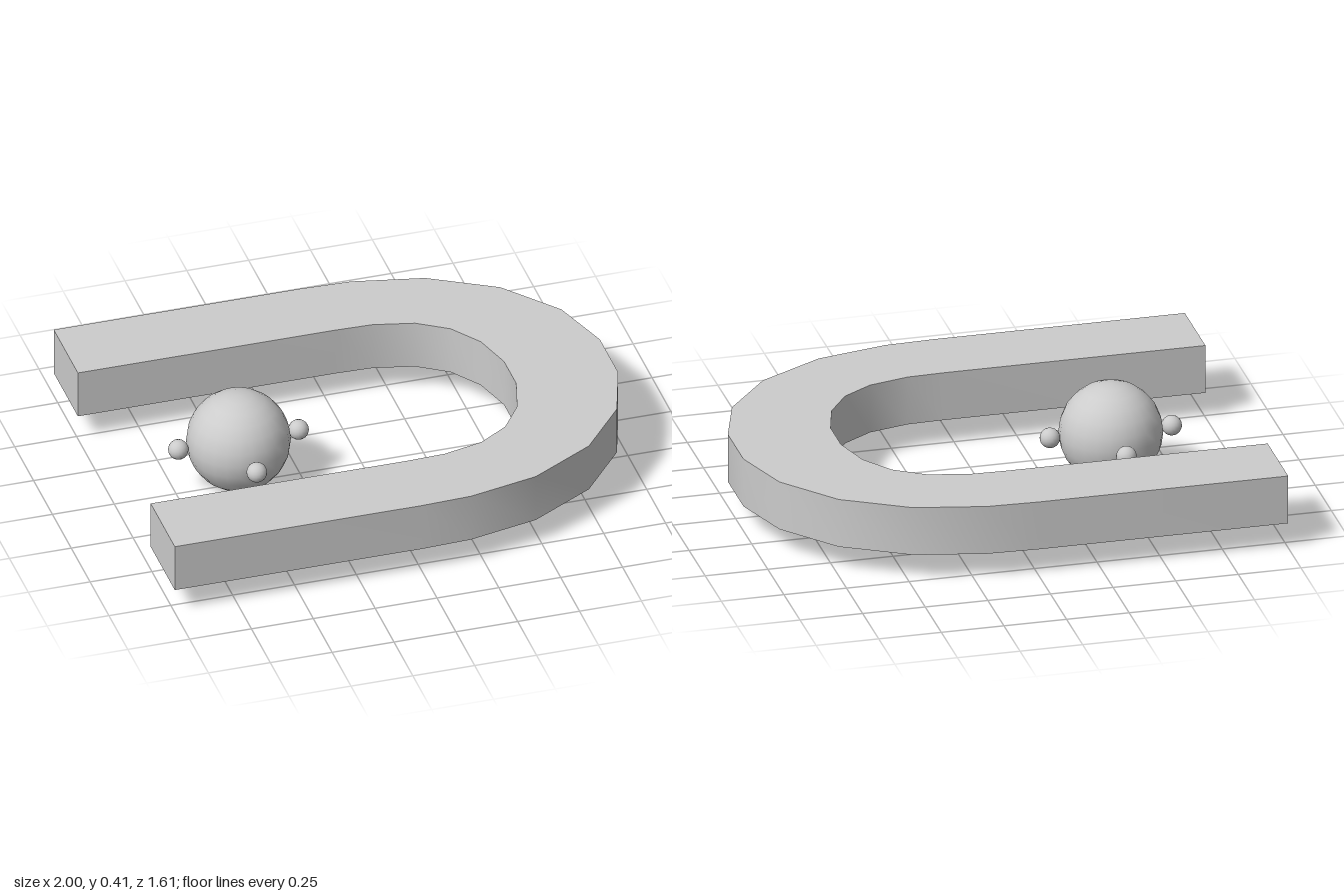
import * as THREE from 'three';
import { toCreasedNormals } from 'three/addons/utils/BufferGeometryUtils.js';

const material = new THREE.MeshStandardMaterial({ color: 0xcccccc });

// Half outlines of the U, from the open end to the middle of the bend (x, z)
const outerHalf = [[-1, 0.803], [0, 0.803], [0.2, 0.795], [0.48, 0.735], [0.74, 0.587], [0.92, 0.368], [1, 0.122]];
const innerHalf = [[-1, 0.483], [0.04, 0.483], [0.19, 0.478], [0.35, 0.44], [0.47, 0.362], [0.555, 0.24], [0.6, 0.08]];

// Completes a half outline by mirroring it in z
function mirrored(half) {
  return [...half, ...half.map(([x, z]) => [x, -z]).reverse()];
}

function ball(name, radius, x, y, z, segments) {
  const mesh = new THREE.Mesh(new THREE.SphereGeometry(radius, segments, segments / 2), material);
  mesh.name = name;
  mesh.position.set(x, y, z);
  return mesh;
}

export function createModel() {
  const model = new THREE.Group();
  model.name = 'horseshoeWithBall';

  // Flat U-shaped bar lying on its side, smooth round the bend
  const outline = [...mirrored(outerHalf), ...mirrored(innerHalf).reverse()];
  const shape = new THREE.Shape(outline.map(([x, z]) => new THREE.Vector2(x, z)));
  const barGeometry = new THREE.ExtrudeGeometry(shape, { depth: 0.2, bevelEnabled: false });
  barGeometry.rotateX(Math.PI / 2).translate(0, 0.304, 0);
  const bar = new THREE.Mesh(toCreasedNormals(barGeometry, 0.6), material);
  bar.name = 'horseshoeBar';
  model.add(bar);

  // Ball between the arms, with four small balls touching its equator
  const center = new THREE.Vector3(-0.498, 0.203, 0);
  const cluster = new THREE.Group();
  cluster.name = 'ballCluster';
  cluster.position.copy(center);
  cluster.add(ball('centerBall', 0.203, 0, 0, 0, 24));
  for (let i = 0; i < 4; i++) {
    const angle = (i * Math.PI) / 2;
    cluster.add(ball('smallBall', 0.04, 0.243 * Math.cos(angle), 0, 0.243 * Math.sin(angle), 20));
  }
  model.add(cluster);

  return model;
}
